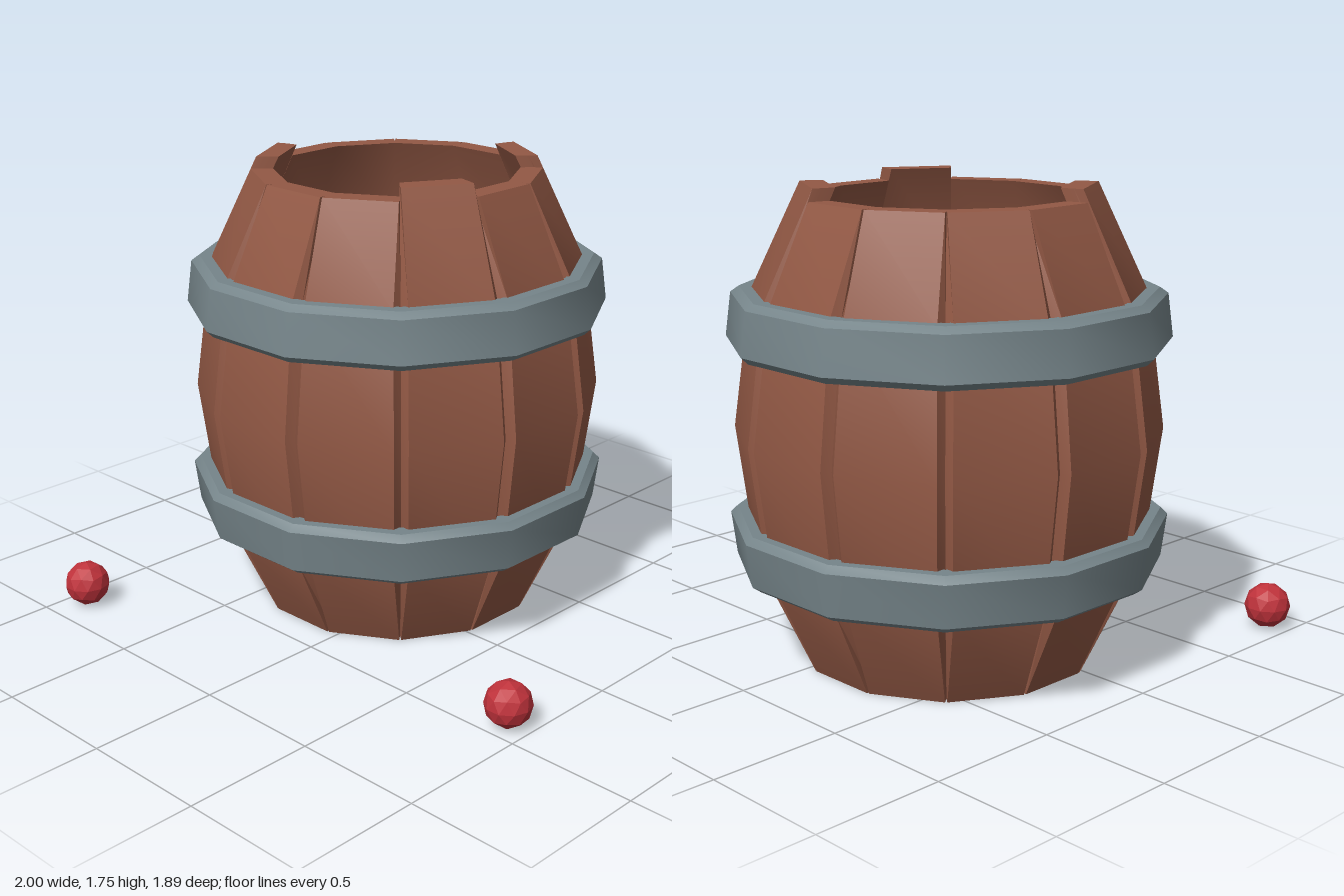
import * as THREE from 'three';
import { mergeGeometries, toCreasedNormals } from 'three/addons/utils/BufferGeometryUtils.js';

const SIDES = 12;
const TAN = Math.tan(Math.PI / SIDES);
const COS = Math.cos(Math.PI / SIDES);
const CREASE = 0.6;

// Outer profile of one stave: height, distance from axis, half width
function staveProfile(top) {
  const topR = 0.535 - 0.45 * (top - 1.71);
  return [
    [0, 0.535, 0.139],
    [0.355, 0.70, 0.16],
    [0.86, 0.765, 0.178],
    [1.36, 0.70, 0.16],
    [top, topR, topR * TAN - 0.004],
  ];
}

// A bowed plank with bevelled sides, swept through six-point cross-sections
function staveGeometry(top) {
  const rings = staveProfile(top).map(([y, r, w]) => {
    const mid = r - 0.035, inner = r - 0.083;
    const half = [[w, r], [mid * TAN, mid], [inner * TAN, inner]];
    const loop = [...half, ...half.slice().reverse().map(([x, z]) => [-x, z])];
    return loop.map(([x, z]) => [x, y, z]);
  });
  const pos = [];
  const tri = (a, b, c) => pos.push(...a, ...b, ...c);
  for (let k = 0; k < rings.length - 1; k++) {
    const lo = rings[k], hi = rings[k + 1];
    for (let j = 0; j < 6; j++) {
      const n = (j + 1) % 6;
      tri(lo[j], lo[n], hi[j]);
      tri(lo[n], hi[n], hi[j]);
    }
  }
  const first = rings[0], last = rings[rings.length - 1];
  for (let j = 1; j < 5; j++) {
    tri(last[0], last[j], last[j + 1]);
    tri(first[0], first[j + 1], first[j]);
  }
  const geo = new THREE.BufferGeometry();
  geo.setAttribute('position', new THREE.Float32BufferAttribute(pos, 3));
  return geo;
}

// Twelve-sided band, bevelled top and bottom; flip mirrors it vertically
function hoopGeometry(flip) {
  const profile = [
    [0.68, 0.34], [0.735, 0.34], [0.765, 0.362], [0.785, 0.522],
    [0.76, 0.547], [0.70, 0.547], [0.68, 0.34],
  ].map(([r, y]) => new THREE.Vector2(r / COS, flip ? 1.715 - y : y));
  if (flip) profile.reverse();
  const geo = new THREE.LatheGeometry(profile, SIDES);
  geo.rotateY(Math.PI / SIDES);
  return toCreasedNormals(geo.toNonIndexed(), CREASE);
}

export function createModel() {
  const material = (name, color, flatShading = false) => {
    const m = new THREE.MeshStandardMaterial({ color, flatShading });
    m.name = name;
    return m;
  };
  const wood = material('wood', 0x935945);
  const metal = material('metal', 0x76858a);
  const red = material('red apple skin', 0xbf323b, true);
  const green = material('green apple skin', 0x78ab3a, true);

  const model = new THREE.Group();
  model.name = 'appleBarrel';
  const add = (parent, name, geo, mat) => {
    const mesh = new THREE.Mesh(geo, mat);
    mesh.name = name;
    parent.add(mesh);
    return mesh;
  };

  const barrel = new THREE.Group();
  barrel.name = 'barrel';
  barrel.position.set(-0.185, 0, -0.165);
  model.add(barrel);

  // Staves: three of them stand a little taller
  const tall = [2, 5, 10];
  const staves = [];
  for (let i = 0; i < SIDES; i++) {
    const geo = staveGeometry(tall.includes(i) ? 1.755 : 1.71);
    staves.push(geo.rotateY((i * 2 * Math.PI) / SIDES));
  }
  add(barrel, 'staves', toCreasedNormals(mergeGeometries(staves), CREASE), wood);

  // Floor set into the staves just above the bottom edge
  const floor = new THREE.CylinderGeometry(0.53, 0.53, 0.05, SIDES);
  floor.rotateY(Math.PI / SIDES);
  add(barrel, 'floor', floor, wood).position.y = 0.135;

  add(barrel, 'lowerHoop', hoopGeometry(false), metal);
  add(barrel, 'upperHoop', hoopGeometry(true), metal);

  // Apples: two on the ground, two inside
  const appleGeo = new THREE.IcosahedronGeometry(0.088, 1);
  appleGeo.rotateX(-Math.atan((1 + Math.sqrt(5)) / 2));
  const apples = [
    ['groundAppleRight', red, -0.912, 0.088, 0.857],
    ['groundAppleLeft', red, 0.912, 0.088, 0.42],
    ['insideRedApple', red, -0.1, 0.248, -0.07],
    ['insideGreenApple', green, -0.27, 0.248, -0.055],
  ];
  for (const [name, mat, x, y, z] of apples) {
    add(model, name, appleGeo, mat).position.set(x, y, z);
  }
  return model;
}
